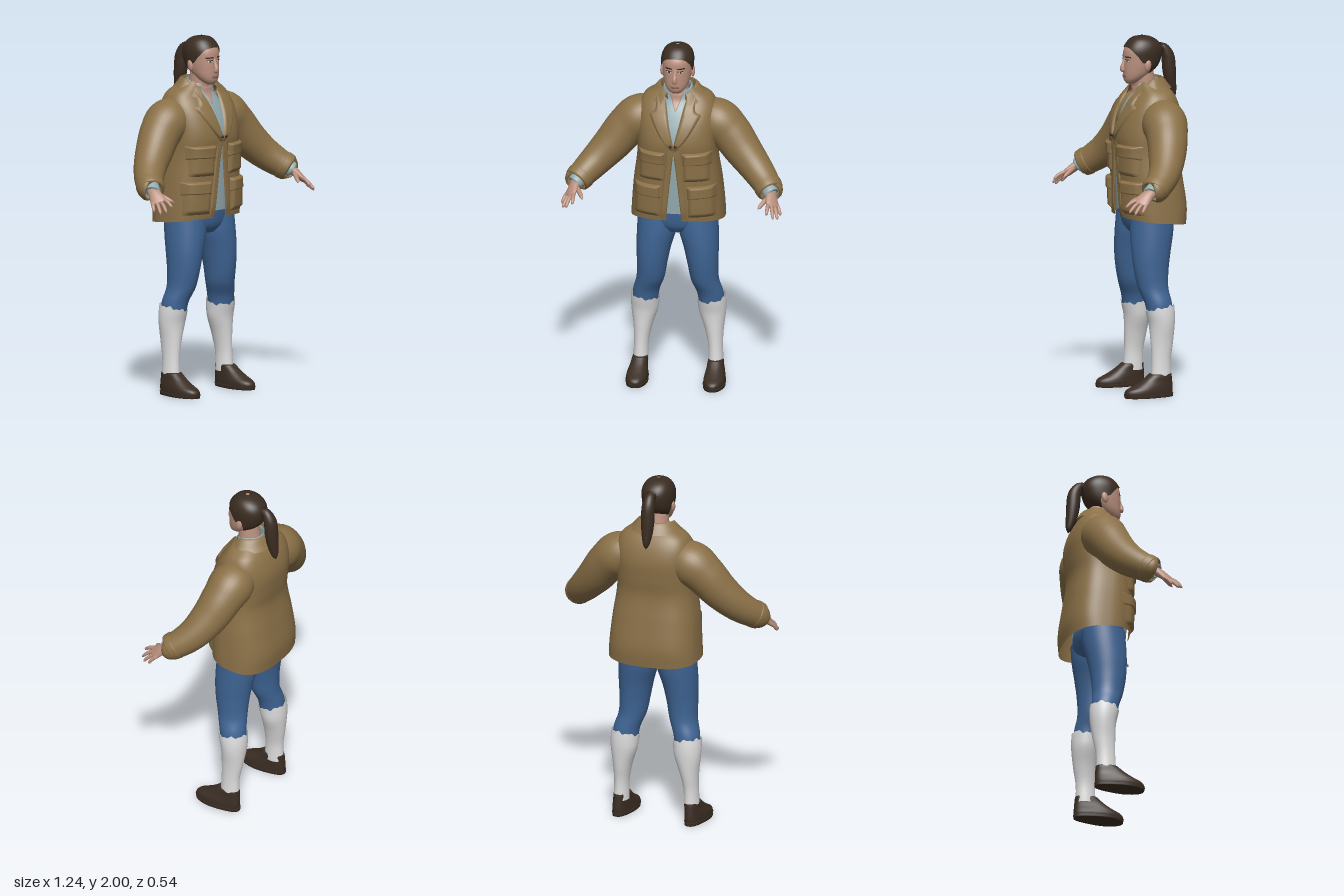
import * as THREE from 'three';
import { mergeVertices } from 'three/addons/utils/BufferGeometryUtils.js';

const mat = (name, color) => new THREE.MeshStandardMaterial({ name, color, side: THREE.DoubleSide });

// Smooth interpolation of rows keyed by their first number
function sample(rows, key) {
  const last = rows.length - 1;
  const y = Math.min(Math.max(key, rows[0][0]), rows[last][0]);
  let i = 0;
  while (i < last - 1 && y > rows[i + 1][0]) i++;
  const a = rows[i], b = rows[i + 1], p = rows[Math.max(i - 1, 0)], q = rows[Math.min(i + 2, last)];
  const h = b[0] - a[0], t = (y - a[0]) / h, t2 = t * t, t3 = t2 * t;
  return a.map((_, k) => {
    const m0 = (b[k] - p[k]) / (b[0] - p[0]) * h, m1 = (q[k] - a[k]) / (q[0] - a[0]) * h;
    return (2 * t3 - 3 * t2 + 1) * a[k] + (t3 - 2 * t2 + t) * m0 + (3 * t2 - 2 * t3) * b[k] + (t3 - t2) * m1;
  });
}

// Grid surface from a function of u (around) and v (along)
function surf(fn, nu, nv) {
  const pos = [], idx = [];
  for (let j = 0; j <= nv; j++) for (let i = 0; i <= nu; i++) pos.push(...fn(i / nu, j / nv));
  for (let j = 0; j < nv; j++) for (let i = 0; i < nu; i++) {
    const a = j * (nu + 1) + i, b = a + 1, c = a + nu + 1, d = c + 1;
    idx.push(a, b, d, a, d, c);
  }
  let g = new THREE.BufferGeometry();
  g.setAttribute('position', new THREE.Float32BufferAttribute(pos, 3));
  g.setIndex(idx);
  g = mergeVertices(g, 1e-5);
  g.computeVertexNormals();
  return g;
}

// Point on a body with rows [y, halfWidth, zFront, zBack, centreX]; angle 0 is the front
function ring(rows, y, a, n, k = 1) {
  const [, rx, zf, zb, cx = 0] = sample(rows, y), e = 2 / n, s = Math.sin(a), c = Math.cos(a);
  return [cx + k * rx * Math.sign(s) * Math.abs(s) ** e, y,
    (zf + zb) / 2 + k * (zf - zb) / 2 * Math.sign(c) * Math.abs(c) ** e];
}

// Closed body, optionally capped at both ends
function loft(rows, { n = 2, cap = false, nu = 40, nv = 30, top } = {}) {
  const y0 = rows[0][0], y1 = rows[rows.length - 1][0];
  return surf((u, v) => {
    const a = u * Math.PI * 2;
    const w = cap ? Math.min(Math.max((v * nv - 1) / (nv - 2), 0), 1) : v;
    const k = cap && (v === 0 || v === 1) ? 0 : 1;
    return ring(rows, y0 + w * ((top ? top(a) : y1) - y0), a, n, k);
  }, nu, nv);
}

// Raised panel lying on the front of a body; span(y) gives its x limits
function patch(rows, n, y0, y1, span, h, base = 0.002, nu = 16, nv = 16) {
  return surf((u, v) => {
    const y = y0 + v * (y1 - y0), [x0, x1] = span(y), x = x0 + u * (x1 - x0);
    const [, rx, zf, zb] = sample(rows, y), d = Math.min(u, 1 - u, v, 1 - v);
    const f = Math.max(0, 1 - Math.abs(x / rx) ** n) ** (1 / n);
    return [x, y, (zf + zb) / 2 + (zf - zb) / 2 * f + base + h * Math.min(1, d / 0.12)];
  }, nu, nv);
}

// Tapered tube with rows [x, y, z, radius along ref, other radius]
function tube(rows, ref = [0, 0, 1], nu = 24, nv = 32) {
  const path = new THREE.CatmullRomCurve3(rows.map(r => new THREE.Vector3(r[0], r[1], r[2])));
  const radii = rows.map((r, i) => [i, r[3], r[4] ?? r[3]]);
  const R = new THREE.Vector3(...ref);
  return surf((u, v) => {
    const p = path.getPoint(v), T = path.getTangent(v), [, r1, r2] = sample(radii, v * (rows.length - 1));
    const N = R.clone().addScaledVector(T, -R.dot(T)).normalize(), B = T.clone().cross(N), a = u * Math.PI * 2;
    return p.addScaledVector(N, r1 * Math.cos(a)).addScaledVector(B, r2 * Math.sin(a)).toArray();
  }, nu, nv);
}

function mirror(geo) {
  const g = geo.clone().scale(-1, 1, 1), ix = g.index.array;
  for (let i = 0; i < ix.length; i += 3) [ix[i], ix[i + 1]] = [ix[i + 1], ix[i]];
  g.computeVertexNormals();
  return g;
}

export function createModel() {
  const model = new THREE.Group();
  model.name = 'standingPerson';
  const jacket = mat('tan jacket', 0x8a7047), denim = mat('blue denim', 0x3f6595), sock = mat('white sock', 0xdedede);
  const leather = mat('dark leather', 0x3b2e24), hair = mat('dark brown hair', 0x3a2c21), skin = mat('skin', 0xb98f7d);
  const shirt = mat('pale blue shirt', 0x93abb0), lip = mat('lips', 0x94655a);
  const white = mat('eye white', 0xd8d2cc), dark = mat('dark details', 0x2a211b);
  const add = (name, geo, m) => {
    const mesh = new THREE.Mesh(geo, m);
    mesh.name = name;
    model.add(mesh);
  };
  const pair = (name, geo, m) => {
    add(name + 'Left', geo, m);
    add(name + 'Right', mirror(geo), m);
  };

  // Jacket body, open down the front
  const coat = [[0.94, 0.264, 0.09, -0.262], [1.05, 0.258, 0.103, -0.27], [1.2, 0.245, 0.108, -0.25], [1.35, 0.225, 0.113, -0.228],
    [1.45, 0.222, 0.122, -0.238], [1.55, 0.222, 0.1, -0.243], [1.63, 0.215, 0.06, -0.225], [1.69, 0.185, 0.018, -0.195],
    [1.72, 0.14, 0.008, -0.168], [1.75, 0.1, 0, -0.14]];
  const gapRows = [[0.9, 0.052], [1, 0.045], [1.3, 0.014], [1.4, 0.003], [1.44, 0.003], [1.55, 0.028], [1.65, 0.05], [1.75, 0.08]];
  const gap = y => sample(gapRows, y)[1];
  const cn = 2.6;
  add('jacketBody', surf((u, v) => {
    const hem = 0.972 + 0.022 * Math.cos(u * Math.PI * 2), y = hem + v * (1.75 - hem);
    const a0 = Math.asin((gap(y) / sample(coat, y)[1]) ** (cn / 2));
    return ring(coat, y, a0 + u * (Math.PI * 2 - 2 * a0), cn);
  }, 72, 50), jacket);

  // Lapels, front edges, pockets and flaps
  const lapelEdge = [[1.42, 0.015], [1.5, 0.08], [1.6, 0.14], [1.615, 0.145], [1.63, 0.115], [1.7, 0.11]];
  pair('lapel', patch(coat, cn, 1.42, 1.7, y => [gap(y) - 0.003, sample(lapelEdge, y)[1]], 0.012, 0.002, 14, 30), jacket);
  pair('frontEdge', patch(coat, cn, 1.0, 1.42, y => [gap(y) - 0.002, gap(y) + 0.035], 0.007), jacket);
  pair('chestPocket', patch(coat, cn, 1.235, 1.37, () => [0.055, 0.2], 0.016), jacket);
  pair('chestFlap', patch(coat, cn, 1.33, 1.405, () => [0.048, 0.208], 0.024), jacket);
  pair('lowerPocket', patch(coat, cn, 1.02, 1.17, () => [0.08, 0.228], 0.018), jacket);
  pair('lowerFlap', patch(coat, cn, 1.13, 1.205, () => [0.074, 0.232], 0.026), jacket);
  pair('frontButton', new THREE.SphereGeometry(0.008, 12, 8).translate(0.014, 1.45, 0.137), dark);

  // Folded collars of jacket and shirt
  const collar = (profile, a0, drop) => surf((u, v) => {
    const a = a0 + u * (Math.PI * 2 - 2 * a0), [, r, y] = sample(profile, v * (profile.length - 1));
    return [r * Math.sin(a), y - drop * Math.max(0, Math.cos(a)), -0.068 + 0.88 * r * Math.cos(a)];
  }, 48, 16);
  add('jacketCollar', collar([[0, 0.155, 1.708], [1, 0.135, 1.73], [2, 0.106, 1.764], [3, 0.095, 1.757], [4, 0.088, 1.69]], 0.55, 0.055), jacket);
  add('shirtCollar', collar([[0, 0.092, 1.69], [1, 0.085, 1.73], [2, 0.078, 1.755], [3, 0.072, 1.75], [4, 0.07, 1.69]], 0.4, 0.05), shirt);

  // Sleeves and cuffs
  pair('sleeve', tube([[0.12, 1.56, -0.095, 0.1], [0.215, 1.535, -0.09, 0.126], [0.29, 1.475, -0.078, 0.116], [0.365, 1.385, -0.05, 0.105],
    [0.445, 1.3, -0.005, 0.091], [0.505, 1.243, 0.05, 0.08], [0.545, 1.207, 0.103, 0.069], [0.545, 1.206, 0.106, 0.05]], [0, 0, 1], 32, 48), jacket);
  pair('cuffBand', tube([[0.52, 1.23, 0.07, 0.074], [0.524, 1.226, 0.075, 0.08], [0.544, 1.208, 0.102, 0.074], [0.547, 1.205, 0.106, 0.064]]), jacket);
  pair('shirtCuff', tube([[0.53, 1.222, 0.085, 0.046], [0.551, 1.198, 0.122, 0.043], [0.552, 1.197, 0.123, 0.03]]), shirt);

  // Hands with four fingers and a thumb
  const across = [0.61, -0.2, -0.75];
  pair('palm', tube([[0.535, 1.217, 0.09, 0.03, 0.026], [0.552, 1.19, 0.138, 0.035, 0.024], [0.566, 1.158, 0.178, 0.043, 0.018],
    [0.573, 1.145, 0.193, 0.036, 0.013], [0.575, 1.14, 0.198, 0.002, 0.002]], across), skin);
  [[0.545, 1.125, 0.268], [0.582, 1.1, 0.262], [0.603, 1.09, 0.237], [0.614, 1.1, 0.195]].forEach((tip, i) => {
    const base = [0.566, 1.158, 0.178].map((p, k) => p + across[k] * (i - 1.5) * 0.022);
    const at = t => base.map((p, k) => p + (tip[k] - p) * t + (k === 1 ? 0.03 * t * (1 - t) : 0));
    pair('finger' + (i + 1), tube([[...at(0), 0.011], [...at(0.5), 0.0105], [...at(0.9), 0.008], [...at(1), 0.001]], across, 12, 14), skin);
  });
  pair('thumb', tube([[0.545, 1.192, 0.14, 0.014], [0.52, 1.172, 0.18, 0.013], [0.5, 1.152, 0.215, 0.01], [0.491, 1.143, 0.231, 0.001]], [0, 1, 0], 12, 16), skin);

  // Shirt and open neckline
  const shirtRows = [[1.03, 0.2, 0.085, -0.2], [1.2, 0.2, 0.092, -0.2], [1.4, 0.19, 0.1, -0.2], [1.5, 0.18, 0.088, -0.2],
    [1.6, 0.15, 0.052, -0.18], [1.64, 0.12, 0.03, -0.16], [1.68, 0.095, 0.006, -0.13], [1.74, 0.068, 0, -0.115]];
  add('shirtBody', loft(shirtRows, { n: 2.2 }), shirt);
  add('openNeckline', patch(shirtRows, 2.2, 1.62, 1.72, y => [-(y - 1.615) * 0.4, (y - 1.615) * 0.4], 0.003, 0.003), skin);

  // Breeches
  add('hips', loft([[0.9, 0.08, 0.03, -0.14], [0.94, 0.19, 0.055, -0.178], [1, 0.218, 0.068, -0.195], [1.06, 0.205, 0.074, -0.19]], { cap: true }), denim);
  pair('breechesLeg', loft([[0.44, 0.07, -0.008, -0.15, 0.187], [0.52, 0.074, 0.006, -0.146, 0.179], [0.6, 0.078, 0.035, -0.135, 0.153],
    [0.7, 0.086, 0.056, -0.14, 0.142], [0.8, 0.098, 0.065, -0.155, 0.132], [0.9, 0.112, 0.066, -0.175, 0.116], [1, 0.115, 0.06, -0.185, 0.108]]), denim);

  // Long socks with uneven tops
  pair('sock', loft([[0.09, 0.043, -0.015, -0.13, 0.211], [0.2, 0.041, -0.021, -0.13, 0.208], [0.3, 0.053, -0.019, -0.146, 0.2],
    [0.4, 0.075, -0.013, -0.158, 0.19], [0.46, 0.08, 0, -0.16, 0.187], [0.53, 0.08, 0.015, -0.156, 0.181]],
  { nu: 64, top: a => 0.492 + 0.012 * Math.sin(a) - 0.013 * Math.cos(a) + 0.005 * Math.sin(7 * a) + 0.004 * Math.sin(13 * a) }), sock);

  // Shoes and soles, narrowed towards the heel
  const heelTaper = geo => {
    const p = geo.attributes.position;
    for (let i = 0; i < p.count; i++) {
      const k = THREE.MathUtils.smoothstep(p.getZ(i), -0.1, 0.05);
      p.setX(i, 0.214 + (p.getX(i) - 0.214) * (0.82 + 0.18 * k));
    }
    geo.computeVertexNormals();
    return geo;
  };
  pair('shoe', heelTaper(loft([[0.01, 0.058, 0.136, -0.134, 0.217], [0.025, 0.061, 0.144, -0.138, 0.217], [0.045, 0.06, 0.132, -0.139, 0.217],
    [0.065, 0.057, 0.09, -0.138, 0.216], [0.09, 0.052, 0.045, -0.136, 0.214], [0.115, 0.05, 0.01, -0.134, 0.212], [0.127, 0.047, -0.004, -0.132, 0.211]],
  { n: 2.3, cap: true })), leather);
  pair('sole', heelTaper(loft([[0, 0.062, 0.143, -0.14, 0.217], [0.02, 0.064, 0.147, -0.142, 0.217]], { n: 2.3, cap: true, nv: 6 })), leather);

  // Head, neck and face
  const head = [[1.733, 0.022, 0.046, 0.005], [1.75, 0.045, 0.06, -0.025], [1.78, 0.065, 0.065, -0.07], [1.82, 0.077, 0.066, -0.12],
    [1.87, 0.083, 0.064, -0.143], [1.92, 0.083, 0.06, -0.147], [1.96, 0.068, 0.036, -0.125], [1.985, 0.04, 0.004, -0.085], [1.994, 0.003, -0.035, -0.045]];
  add('head', loft(head, { cap: true, n: 2.15 }), skin);
  add('neck', tube([[0, 1.6, -0.075, 0.07], [0, 1.7, -0.06, 0.064], [0, 1.8, -0.048, 0.058]]), skin);
  add('nose', tube([[0, 1.885, 0.056, 0.007], [0, 1.85, 0.066, 0.01], [0, 1.822, 0.073, 0.014], [0, 1.81, 0.068, 0.015], [0, 1.806, 0.06, 0.002]]), skin);
  pair('ear', new THREE.SphereGeometry(1, 16, 12).scale(0.012, 0.032, 0.019).rotateX(-0.2).translate(0.086, 1.84, -0.045), skin);
  const face = (y0, y1, x0, x1, off) => patch(head, 2.15, y0, y1, () => [x0, x1], 0.001, off, 8, 4);
  pair('eyeWhite', face(1.861, 1.87, 0.02, 0.045, 0.001), white);
  pair('iris', face(1.861, 1.87, 0.028, 0.037, 0.002), dark);
  pair('eyelid', face(1.869, 1.873, 0.017, 0.048, 0.002), dark);
  pair('eyebrow', face(1.882, 1.89, 0.014, 0.054, 0.002), hair);
  add('mouth', face(1.769, 1.782, -0.024, 0.024, 0.002), lip);

  // Hair with shaped hairline, and ponytail
  const hairRows = head.map(([y, rx, zf, zb]) => [y + 0.006, rx + 0.007, zf + 0.004, zb - 0.008]);
  const hairline = [[0, 1.942], [0.6, 1.932], [1.05, 1.895], [1.4, 1.855], [1.75, 1.85], [2.1, 1.8], [2.6, 1.772], [3.15, 1.765]];
  add('hair', surf((u, v) => {
    const a = u * Math.PI * 2, low = sample(hairline, Math.min(a, Math.PI * 2 - a))[1];
    return ring(hairRows, low + (2 - low) * Math.sin(v * Math.PI / 2), a, 2.15);
  }, 56, 24), hair);
  add('ponytail', tube([[0, 1.915, -0.13, 0.02], [0, 1.925, -0.165, 0.026], [0, 1.88, -0.195, 0.036], [0, 1.8, -0.205, 0.038],
    [0, 1.72, -0.215, 0.031], [0, 1.66, -0.228, 0.018], [0, 1.635, -0.233, 0.001]], [1, 0, 0]), hair);
  add('hairTie', new THREE.TorusGeometry(0.024, 0.007, 8, 24).translate(0, 1.923, -0.155), dark);
  return model;
}
